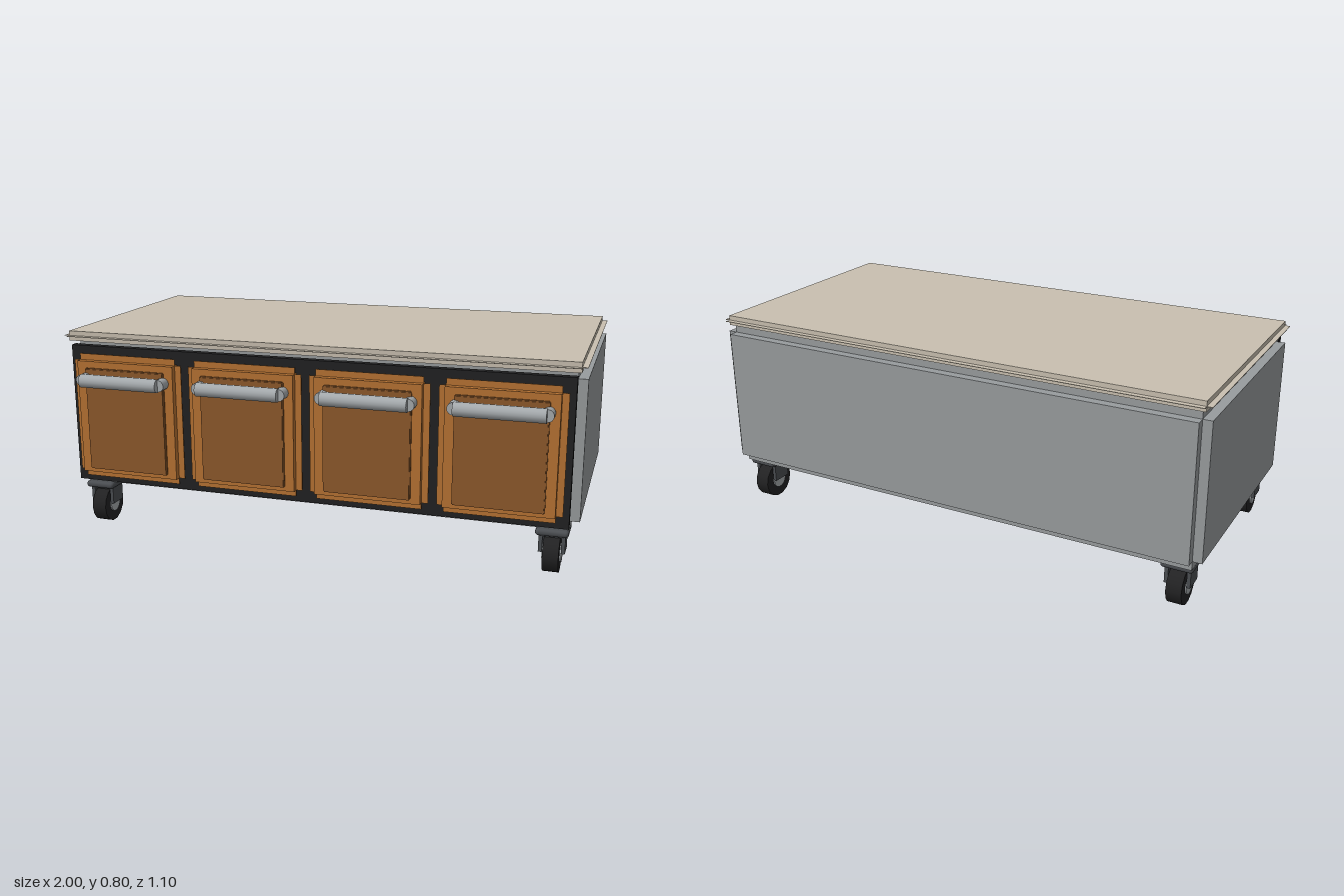
import * as THREE from 'three';
import { RoundedBoxGeometry } from 'three/addons/geometries/RoundedBoxGeometry.js';

const mat = (name, color) => {
  const m = new THREE.MeshStandardMaterial({ color });
  m.name = name;
  return m;
};

export function createModel() {
  const steel = mat('brushed steel', 0x989c9e);
  const stone = mat('beige stone', 0xc9c0b0);
  const black = mat('black', 0x222223);
  const wood = mat('orange wood', 0xb87333);
  const darkWood = mat('dark wood', 0x8f5a2c);
  const silver = mat('silver', 0xa6abae);
  const iron = mat('dark iron', 0x4b4e52);

  const add = (parent, name, geometry, material, x = 0, y = 0, z = 0) => {
    const mesh = new THREE.Mesh(geometry, material);
    mesh.name = name;
    mesh.position.set(x, y, z);
    parent.add(mesh);
    return mesh;
  };

  // Three crossed boxes, each long in one direction, leaving stepped edges of size r
  const steppedBox = (parent, name, w, h, d, r, material, x, y, z) => {
    const group = new THREE.Group();
    group.name = name;
    group.position.set(x, y, z);
    const size = [w, h, d];
    for (let axis = 0; axis < 3; axis++) {
      const s = size.map((v, i) => (i === axis ? v : Math.max(v - 2 * r, 0.002)));
      add(group, name + 'Slab', new THREE.BoxGeometry(...s), material);
    }
    parent.add(group);
  };

  const model = new THREE.Group();
  model.name = 'rollingCabinet';

  // Cabinet body, worktop and front frame
  steppedBox(model, 'body', 2, 0.59, 0.96, 0.035, steel, 0, 0.47, -0.07);
  steppedBox(model, 'worktop', 2, 0.038, 1, 0.02, stone, 0, 0.781, -0.05);
  add(model, 'frontFrame', new THREE.BoxGeometry(1.935, 0.547, 0.03), black, 0, 0.4735, 0.42);

  // Four doors, each with an inset panel and a bar handle
  for (let i = 0; i < 4; i++) {
    const door = new THREE.Group();
    door.name = 'door';
    door.position.set((i - 1.5) * 0.481, 0.4725, 0);
    steppedBox(door, 'doorLeaf', 0.45, 0.494, 0.05, 0.0245, wood, 0, 0, 0.453);
    steppedBox(door, 'doorPanel', 0.33, 0.404, 0.014, 0.004, darkWood, 0, -0.005, 0.481);

    const bar = add(door, 'handleBar', new THREE.CylinderGeometry(0.026, 0.026, 0.32, 16),
      silver, 0, 0.156, 0.523);
    bar.rotation.z = Math.PI / 2;
    for (const side of [-1, 1]) {
      const post = add(door, 'handlePost', new THREE.CylinderGeometry(0.023, 0.023, 0.048, 16),
        silver, side * 0.161, 0.156, 0.499);
      post.rotation.x = Math.PI / 2;
    }
    model.add(door);
  }

  // Casters at the four corners
  for (const x of [-0.906, 0.906]) {
    for (const z of [0.341, -0.444]) {
      const caster = new THREE.Group();
      caster.name = 'caster';
      caster.position.set(x, 0, z);
      add(caster, 'mountPlate', new RoundedBoxGeometry(0.12, 0.026, 0.12, 3, 0.012), iron, 0, 0.164, 0);
      add(caster, 'forkBridge', new THREE.BoxGeometry(0.096, 0.012, 0.076), iron, 0, 0.149, 0);
      for (const side of [-1, 1]) {
        add(caster, 'forkArm', new THREE.BoxGeometry(0.014, 0.068, 0.076), iron, side * 0.041, 0.117, 0);
      }
      const wheel = add(caster, 'tyre', new THREE.CylinderGeometry(0.073, 0.073, 0.058, 14), black, 0, 0.073, 0);
      const hub = add(caster, 'hub', new THREE.CylinderGeometry(0.035, 0.035, 0.07, 14), silver, 0, 0.075, 0);
      wheel.rotation.z = hub.rotation.z = Math.PI / 2;
      model.add(caster);
    }
  }

  return model;
}
